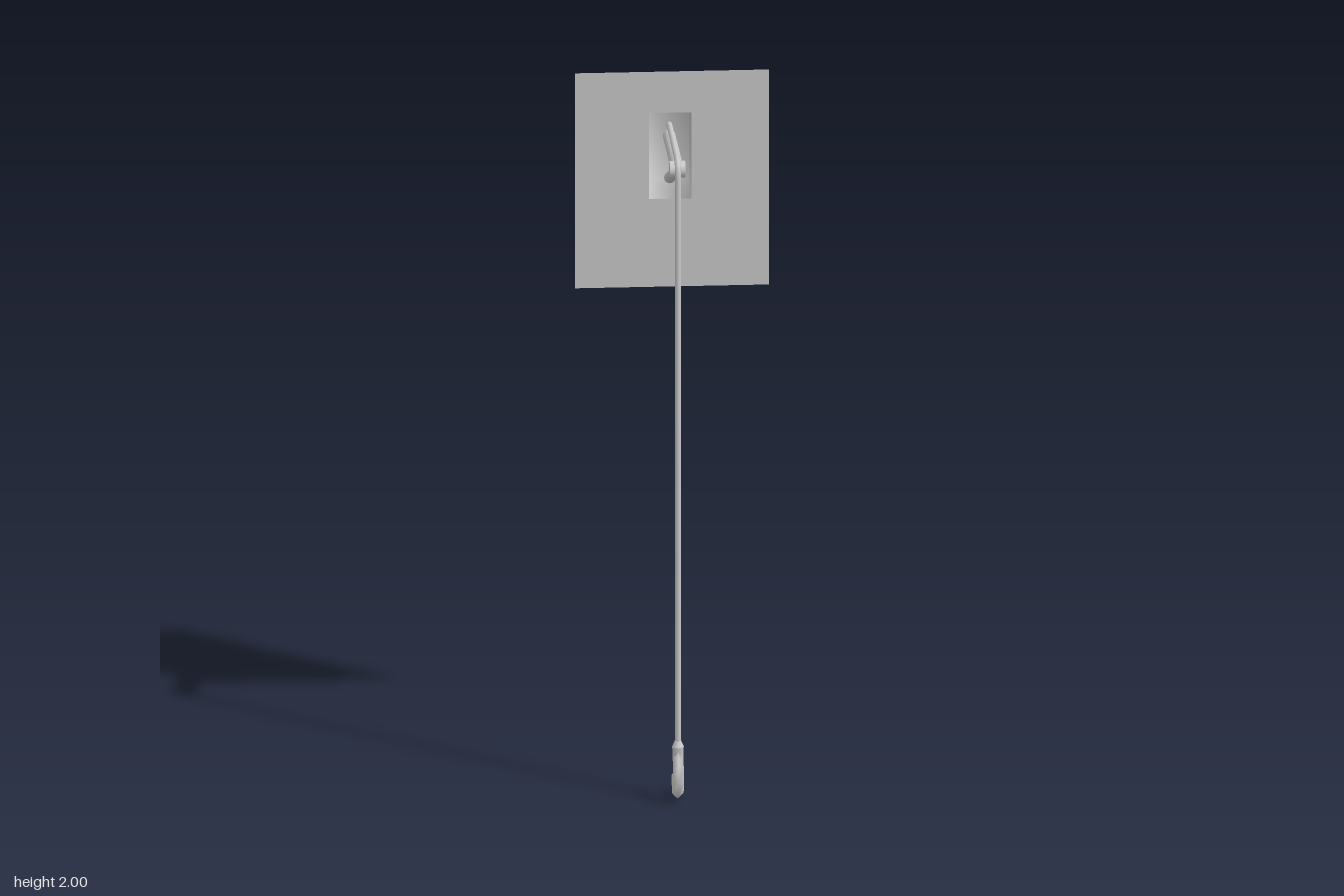
import * as THREE from 'three';
import { mergeVertices } from 'three/addons/utils/BufferGeometryUtils.js';

const grey = new THREE.MeshStandardMaterial({ color: 0xcccccc });
const greyDouble = new THREE.MeshStandardMaterial({ color: 0xcccccc, side: THREE.DoubleSide });

const WALL_Z = -0.103, BACK_Z = -0.248;
const HOLE = { x0: -0.062, x1: 0.053, y0: 1.63, y1: 1.88 };

export function createModel() {
  const group = new THREE.Group();
  const add = (name, geometry, material = grey) => {
    const mesh = new THREE.Mesh(geometry, material);
    mesh.name = name;
    group.add(mesh);
    return mesh;
  };
  // Round bar between two points in the plane x = 0, given as [y, z]
  const bar = (name, a, b, r, sides = 12) => {
    const p = new THREE.Vector3(0, ...a), q = new THREE.Vector3(0, ...b);
    const mesh = add(name, new THREE.CylinderGeometry(r, r, p.distanceTo(q), sides));
    mesh.position.copy(p).lerp(q, 0.5);
    mesh.quaternion.setFromUnitVectors(new THREE.Vector3(0, 1, 0), q.clone().sub(p).normalize());
    return mesh;
  };
  // Tube in the plane x = 0 with one ring at each [y, z] point
  const tube = (name, points, r, sides) => {
    const curve = new THREE.CatmullRomCurve3(points.map(p => new THREE.Vector3(0, ...p)));
    curve.getUtoTmapping = u => u;
    return add(name, new THREE.TubeGeometry(curve, points.length - 1, r, sides));
  };

  // Thin wall with a rectangular opening
  const wall = new THREE.Shape();
  wall.moveTo(-0.262, 1.375).lineTo(0.262, 1.375).lineTo(0.262, 2).lineTo(-0.262, 2).closePath();
  const hole = new THREE.Path();
  hole.moveTo(HOLE.x0, HOLE.y0).lineTo(HOLE.x0, HOLE.y1).lineTo(HOLE.x1, HOLE.y1).lineTo(HOLE.x1, HOLE.y0).closePath();
  wall.holes.push(hole);
  add('wall', new THREE.ShapeGeometry(wall), greyDouble).position.z = WALL_Z;

  // Recess behind the opening: a softly shaded box without its front face
  let recess = new THREE.BoxGeometry(HOLE.x1 - HOLE.x0, HOLE.y1 - HOLE.y0, WALL_Z - BACK_Z);
  recess.setIndex(Array.from(recess.index.array).filter((_, i) => i < 24 || i >= 30));
  recess.clearGroups();
  recess.deleteAttribute('uv');
  recess.deleteAttribute('normal');
  recess = mergeVertices(recess);
  recess.computeVertexNormals();
  add('recess', recess, greyDouble).position.set(
    (HOLE.x0 + HOLE.x1) / 2, (HOLE.y0 + HOLE.y1) / 2, (WALL_Z + BACK_Z) / 2);

  // Jib beam and the strut below it
  bar('jibBeam', [1.824, 0.165], [1.757, BACK_Z + 0.005], 0.0175);
  bar('lowerStrut', [1.815, 0.15], [1.645, BACK_Z + 0.03], 0.0155);

  // Pulley at the tip of the jib
  const pulley = add('pulley', new THREE.CylinderGeometry(0.023, 0.023, 0.042, 16));
  pulley.rotation.z = Math.PI / 2;
  pulley.position.set(0, 1.824, 0.167);

  // Rope from the recess, over the pulley and down to the hook
  tube('rope', [
    [1.79, BACK_Z + 0.005], [1.813, -0.1], [1.847, 0.15], [1.848, 0.172],
    [1.841, 0.185], [1.825, 0.192], [1.8, 0.193], [0.16, 0.193],
  ], 0.008, 8);

  // Hook: collar, faceted curl and pointed tip
  const collar = add('hookCollar', new THREE.CylinderGeometry(0.009, 0.016, 0.016, 8));
  collar.position.set(0, 0.165, 0.193);
  const shank = add('hookShank', new THREE.CylinderGeometry(0.016, 0.013, 0.025, 8));
  shank.position.set(0, 0.1445, 0.193);
  tube('hookCurl', [
    [0.15, 0.193], [0.125, 0.196], [0.105, 0.22], [0.07, 0.231],
    [0.034, 0.215], [0.0145, 0.18], [0.029, 0.15], [0.055, 0.142],
  ], 0.0145, 4);
  const tip = add('hookTip', new THREE.ConeGeometry(0.0145, 0.012, 4));
  tip.position.set(0, 0.06, 0.141);

  return group;
}
